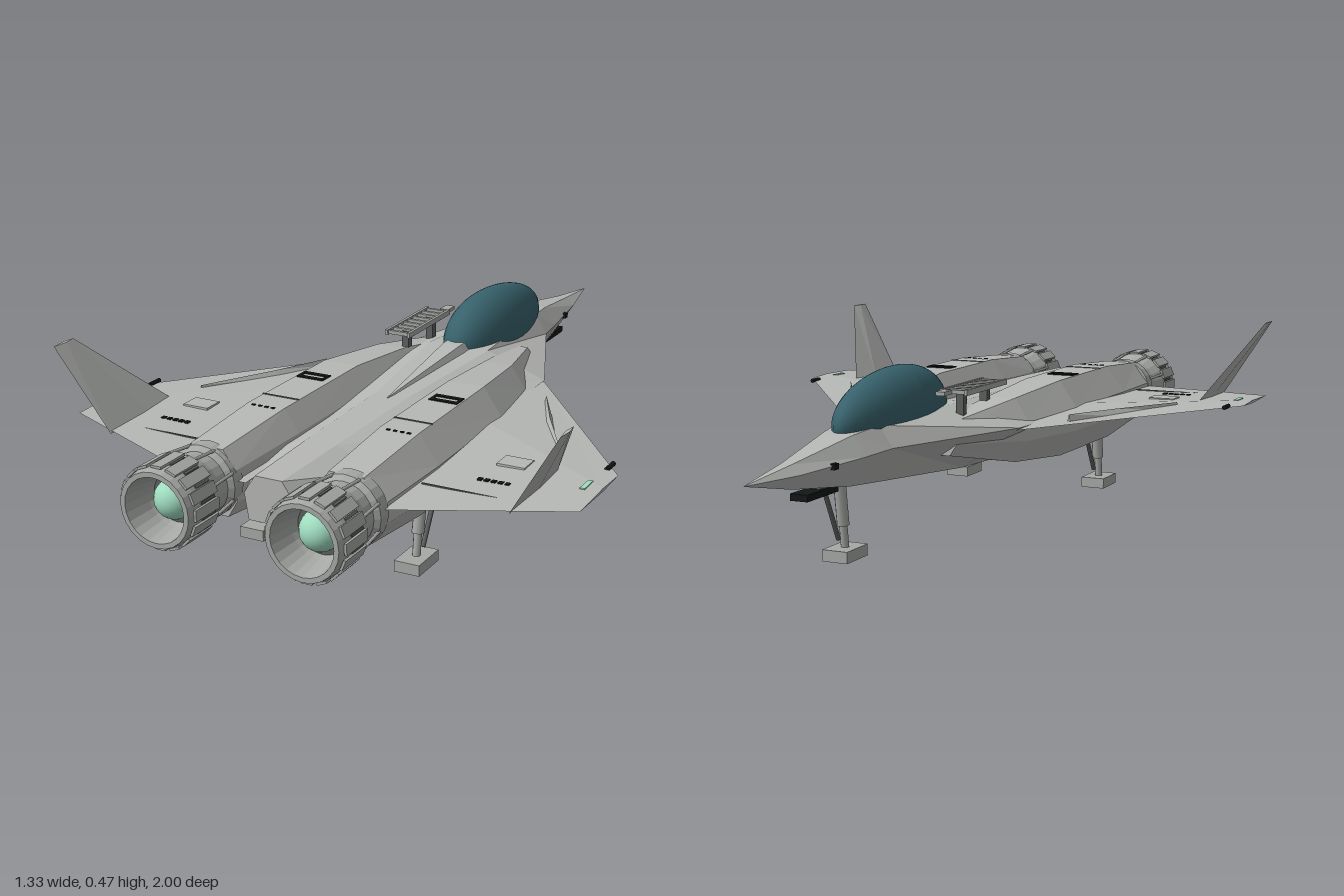
import * as THREE from 'three';

const mat = (name, color, side = THREE.FrontSide) => {
  const m = new THREE.MeshStandardMaterial({ color, side });
  m.name = name;
  return m;
};

// Skin through rings of points, flat faces, turned outward by signed volume
function loft(rings) {
  const n = rings[0].length, tris = [];
  for (let i = 0; i < rings.length - 1; i++) {
    for (let j = 0; j < n; j++) {
      const k = (j + 1) % n, [a, b, c, d] = [rings[i][j], rings[i][k], rings[i + 1][k], rings[i + 1][j]];
      tris.push([a, b, c], [a, c, d]);
    }
  }
  const first = rings[0], last = rings[rings.length - 1];
  for (let j = 1; j < n - 1; j++) {
    tris.push([first[0], first[j + 1], first[j]], [last[0], last[j], last[j + 1]]);
  }
  let volume = 0;
  const a = new THREE.Vector3(), b = new THREE.Vector3(), c = new THREE.Vector3();
  for (const t of tris) volume += a.fromArray(t[0]).dot(b.fromArray(t[1]).cross(c.fromArray(t[2])));
  if (volume < 0) tris.forEach((t) => t.reverse());
  const g = new THREE.BufferGeometry();
  g.setAttribute('position', new THREE.Float32BufferAttribute(tris.flat(2), 3));
  g.computeVertexNormals();
  return g;
}

export function createModel() {
  const model = new THREE.Group();
  model.name = 'spacecraft';
  const hull = mat('hullGrey', 0xb6b8b5);
  const metal = mat('engineGrey', 0xa6a9a6, THREE.DoubleSide);
  const dark = mat('darkGrey', 0x5c605f);
  const black = mat('black', 0x141616);
  const glass = mat('canopyTeal', 0x37616b);
  const glow = mat('engineGreen', 0xa0dcc0);

  const add = (name, geometry, material, parent = model) => {
    const m = new THREE.Mesh(geometry, material);
    m.name = name;
    parent.add(m);
    return m;
  };
  const box = (name, size, pos, material, parent) => {
    const m = add(name, new THREE.BoxGeometry(...size), material, parent);
    m.position.set(...pos);
    return m;
  };
  const rod = (name, from, to, r, material, parent) => {
    const p = new THREE.Vector3(...from), q = new THREE.Vector3(...to), d = q.clone().sub(p);
    const m = add(name, new THREE.CylinderGeometry(r, r, d.length(), 10), material, parent);
    m.position.copy(p).add(q).multiplyScalar(0.5);
    m.quaternion.setFromUnitVectors(new THREE.Vector3(0, 1, 0), d.normalize());
    return m;
  };

  // Fuselage: z, top half width and height, chine, belly
  const body = [
    [-1, 0.001, 0.251, 0.002, 0.25, 0.001, 0.249],
    [-0.83, 0.014, 0.27, 0.037, 0.248, 0.014, 0.214],
    [-0.6, 0.04, 0.303, 0.075, 0.255, 0.035, 0.183],
    [-0.5, 0.055, 0.312, 0.09, 0.26, 0.045, 0.176],
    [-0.12, 0.085, 0.322, 0.25, 0.265, 0.09, 0.152],
    [0.25, 0.045, 0.305, 0.25, 0.26, 0.1, 0.14],
    [0.6, 0.04, 0.3, 0.15, 0.255, 0.095, 0.148],
    [0.83, 0.035, 0.295, 0.065, 0.25, 0.055, 0.185],
  ];
  add('fuselage', loft(body.map(([z, wt, yt, wm, ym, wb, yb]) => [
    [wm, ym, z], [wt, yt, z], [-wt, yt, z], [-wm, ym, z], [-wb, yb, z], [wb, yb, z],
  ])), hull);

  // Spine tapering off behind the cockpit
  add('spine', loft([[-0.2, 0.055, 0.34], [-0.08, 0.05, 0.34], [0.28, 0.002, 0.306]].map(
    ([z, w, y]) => [[w, 0.29, z], [w * 0.5, y, z], [-w * 0.5, y, z], [-w, 0.29, z]])), hull);

  // Canopy: stretched dome with its peak moved back
  const dome = new THREE.SphereGeometry(1, 32, 20, 0, Math.PI * 2, 0, Math.PI * 0.56);
  const dp = dome.attributes.position;
  for (let i = 0; i < dp.count; i++) {
    const z = dp.getZ(i);
    dp.setXYZ(i, dp.getX(i) * 0.084, dp.getY(i) * 0.115, z * 0.255 + 0.04 * (1 - z * z));
  }
  dome.computeVertexNormals();
  add('canopy', dome, glass).position.set(0, 0.315, -0.345);

  // Nose gun and sensors
  box('noseGun', [0.045, 0.016, 0.14], [0, 0.185, -0.71], black);
  box('noseGunMount', [0.03, 0.03, 0.08], [0, 0.2, -0.67], dark);

  // Boarding ladder stowed on the right shoulder
  const ladder = new THREE.Group();
  ladder.name = 'ladder';
  model.add(ladder);
  for (const x of [-0.165, -0.1]) box('ladderRail', [0.008, 0.014, 0.24], [x, 0.365, -0.14], metal, ladder);
  for (let i = 0; i < 9; i++) box('ladderRung', [0.065, 0.01, 0.009], [-0.1325, 0.365, -0.25 + i * 0.0275], metal, ladder);
  for (const z of [-0.2, -0.06]) box('ladderBracket', [0.02, 0.07, 0.02], [-0.125, 0.33, z], dark, ladder);
  box('ladderHook', [0.025, 0.01, 0.04], [-0.115, 0.365, -0.28], metal, ladder);

  // Landing leg with a flat foot and a brace
  const leg = (name, x, z, top) => {
    const g = new THREE.Group();
    g.name = name;
    model.add(g);
    box('foot', [0.066, 0.028, 0.1], [x, 0.017, z], metal, g);
    rod('lowerStrut', [x, 0.03, z], [x, 0.1, z - 0.01], 0.01, metal, g);
    rod('upperStrut', [x, 0.085, z - 0.008], [x, top, z - 0.025], 0.015, metal, g);
    rod('brace', [x + 0.012, 0.05, z - 0.01], [x + 0.012, top - 0.02, z - 0.075], 0.006, dark, g);
  };
  leg('noseGear', 0, -0.572, 0.2);

  for (const s of [1, -1]) {
    const side = s > 0 ? 'left' : 'right';
    const named = (n) => side + n;
    leg(named('Gear'), s * 0.213, 0.535, 0.18);

    // Wing: x, leading z, trailing z, middle height, half thickness
    add(named('Wing'), loft([
      [0.08, -0.2, 0.8, 0.258, 0.02],
      [0.25, -0.12, 0.805, 0.26, 0.019],
      [0.665, 0.42, 0.645, 0.275, 0.004],
    ].map(([x, a, b, y, t]) => {
      const ridge = a + (b - a) * 0.4;
      return [[s * x, y, a], [s * x, y + t, ridge], [s * x, y, b], [s * x, y - t, ridge]];
    })), hull);

    // Canted tail fin
    const d = 0.005;
    add(named('Fin'), loft([
      [0.525, 0.265, 0.44, 0.705], [0.653, 0.475, 0.662, 0.735],
    ].map(([x, y, a, b]) => {
      const m = a + (b - a) * 0.45;
      return [[s * x, y, a], [s * (x + d), y, m], [s * x, y, b], [s * (x - d), y, m]];
    })), hull);

    // Engine nacelle: z, inner x, outer x, bottom, top
    add(named('Nacelle'), loft([
      [-0.28, 0.075, 0.15, 0.21, 0.29],
      [-0.03, 0.09, 0.235, 0.16, 0.325],
      [0.2, 0.092, 0.275, 0.143, 0.345],
      [0.55, 0.092, 0.28, 0.143, 0.345],
      [0.8, 0.105, 0.27, 0.165, 0.328],
    ].map(([z, a, b, lo, hi]) => {
      const w = b - a, h = hi - lo;
      return [
        [b, lo + h * 0.35], [b, lo + h * 0.65], [b - w * 0.27, hi], [a + w * 0.2, hi],
        [a, lo + h * 0.72], [a, lo + h * 0.25], [a + w * 0.15, lo], [b - w * 0.25, lo],
      ].map(([x, y]) => [s * x, y, z]);
    })), hull);

    // Engine nozzle, pointing back along z
    const engine = new THREE.Group();
    engine.name = named('Engine');
    engine.position.set(s * 0.187, 0.247, 0);
    model.add(engine);
    const profile = [[0.07, 0.77], [0.088, 0.78], [0.088, 0.815], [0.076, 0.825], [0.08, 0.86], [0.094, 0.9],
      [0.096, 0.97], [0.09, 1], [0.078, 1], [0.066, 0.93], [0.055, 0.9]].map((p) => new THREE.Vector2(...p));
    const shell = new THREE.LatheGeometry(profile, 24).rotateX(Math.PI / 2).toNonIndexed();
    shell.computeVertexNormals();
    add('nozzle', shell, metal, engine);
    add('nozzleThroat', new THREE.RingGeometry(0.03, 0.068, 24), dark, engine).position.z = 0.915;
    const core = add('engineGlow', new THREE.SphereGeometry(0.048, 24, 16), glow, engine);
    core.position.z = 0.92;
    for (let i = 0; i < 16; i++) {
      const petal = new THREE.Group();
      petal.name = 'petal';
      petal.rotation.z = (i * Math.PI) / 8;
      engine.add(petal);
      box('petalPlate', [0.027, 0.006, 0.09], [0, 0.097, 0.94], metal, petal);
      box('petalSlot', [0.006, 0.004, 0.05], [0.0185, 0.094, 0.93], dark, petal);
      if (i % 2) rod('actuator', [0, 0.086, 0.81], [0, 0.096, 0.9], 0.004, metal, petal);
    }

    // Vents and markings on the nacelle
    for (const z of [0.308, 0.337]) box('vent', [0.075, 0.004, 0.012], [s * 0.185, 0.346, z], black);
    for (const x of [0.151, 0.219]) box('ventEdge', [0.007, 0.004, 0.04], [s * x, 0.346, 0.323], black);
    box('panelSeam', [0.1, 0.003, 0.004], [s * 0.18, 0.3455, 0.485], dark);
    for (let i = 0; i < 4; i++) box('nacelleMark', [0.009, 0.004, 0.006], [s * (0.155 + i * 0.018), 0.3445, 0.56], black);

    // Markings, hatches and tip lights on the wing
    for (let i = 0; i < 5; i++) box('wingMark', [0.011, 0.006, 0.012], [s * (0.395 + i * 0.017), 0.272, 0.573], black);
    box('wingHatch', [0.07, 0.006, 0.055], [s * 0.43, 0.277, 0.46], hull);
    box('underHatch', [0.03, 0.008, 0.06], [s * 0.43, 0.252, 0.45], dark);
    box('flapSeam', [0.23, 0.003, 0.004], [s * 0.4, 0.269, 0.645], dark);
    box('tipLight', [0.012, 0.005, 0.05], [s * 0.625, 0.278, 0.51], glow);
    rod('tipProbe', [s * 0.63, 0.276, 0.36], [s * 0.63, 0.276, 0.4], 0.006, black);
    add(named('WingRib'), loft([
      [0.32, 0.03, 0.004], [0.39, 0.17, 0.012], [0.5, 0.36, 0.003],
    ].map(([x, z, w]) => [[s * (x - w), 0.265, z], [s * x, 0.283, z], [s * (x + w), 0.265, z]])), hull);
    box('noseSensor', [0.012, 0.014, 0.018], [s * 0.056, 0.25, -0.715], black);
  }
  return model;
}
